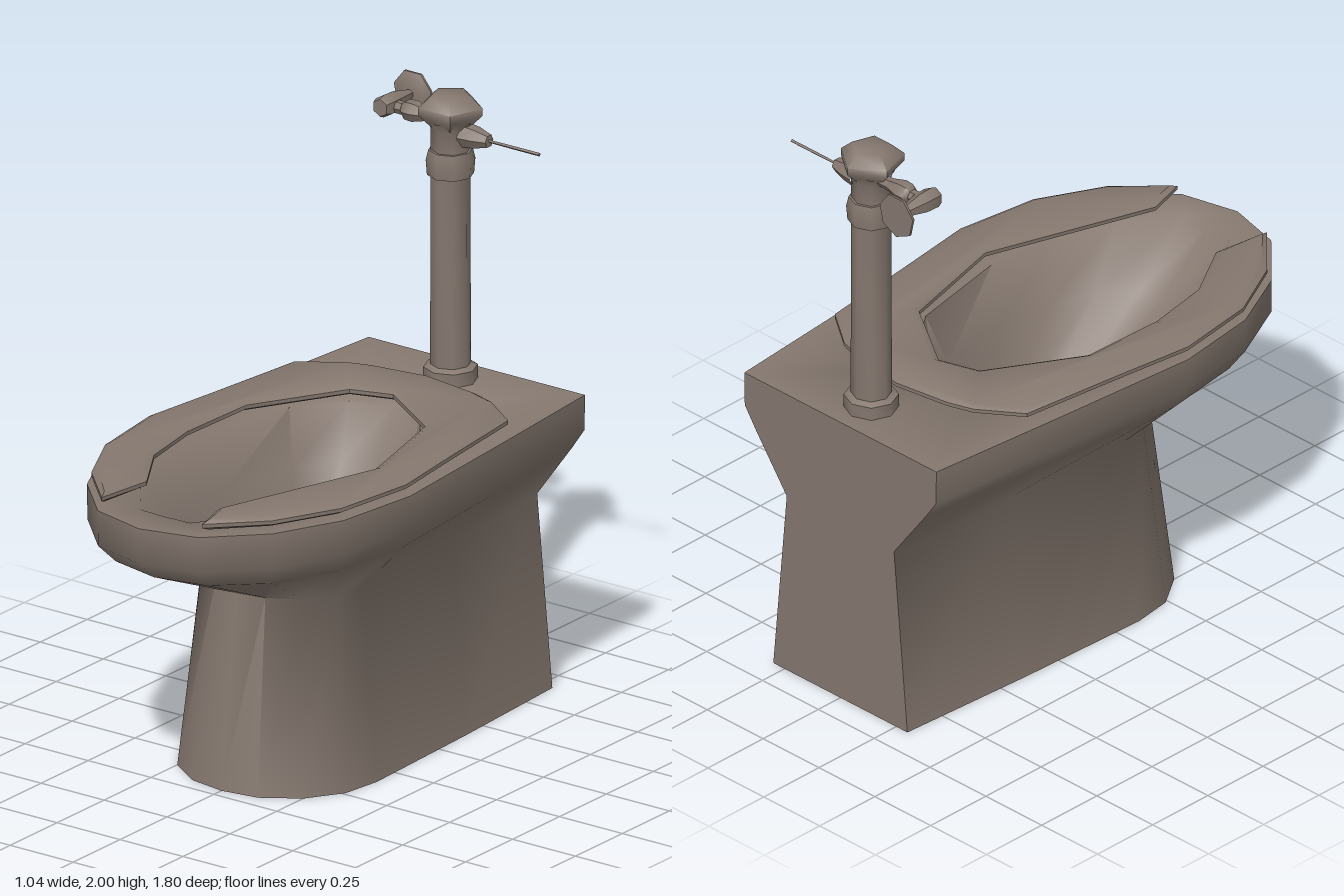
import * as THREE from 'three';
import { toCreasedNormals } from 'three/addons/utils/BufferGeometryUtils.js';

const ceramic = new THREE.MeshStandardMaterial({ color: 0x85786f });
ceramic.name = 'warm grey';

function part(name, geometry, crease = 0.9) {
  const mesh = new THREE.Mesh(toCreasedNormals(geometry, crease), ceramic);
  mesh.name = name;
  return mesh;
}

// Turned part standing on its own y axis; profile is [radius, height] from bottom to top
function turned(name, profile, sides = 8, start = Math.PI) {
  const points = profile.map(([r, y]) => new THREE.Vector2(r, y));
  return part(name, new THREE.LatheGeometry(points, sides, start), 0.9);
}

// Closed skin through mirrored half outlines, each running from back centre to front centre
function loft(levels) {
  const positions = [], index = [];
  const n = 14;
  for (const [y, half] of levels) {
    const mirrored = half.slice(1, -1).reverse().map(([x, z]) => [-x, z]);
    for (const [x, z] of [...half, ...mirrored]) positions.push(x, y, z);
  }
  for (let i = 0; i < levels.length - 1; i++) {
    for (let j = 0; j < n; j++) {
      const a = i * n + j, b = i * n + (j + 1) % n;
      index.push(a, a + n, b, b, a + n, b + n);
    }
  }
  const addCap = (level, up) => {
    const [y, half] = levels[level];
    const center = positions.length / 3;
    positions.push(0, y, (half[0][1] + half[7][1]) / 2);
    for (let j = 0; j < n; j++) {
      const a = level * n + j, b = level * n + (j + 1) % n;
      index.push(center, up ? b : a, up ? a : b);
    }
  };
  addCap(0, false);
  addCap(levels.length - 1, true);
  const geometry = new THREE.BufferGeometry();
  geometry.setAttribute('position', new THREE.Float32BufferAttribute(positions, 3));
  geometry.setIndex(index);
  return geometry;
}

function createBowl() {
  const rim = [[0, -0.9], [0.43, -0.9], [0.475, -0.4], [0.52, 0.15], [0.48, 0.45], [0.37, 0.68], [0.2, 0.85], [0, 0.9]];
  return part('bowl', loft([
    // pedestal and outer skin, upwards
    [0, [[0, -0.9], [0.3, -0.9], [0.33, -0.4], [0.35, 0.1], [0.33, 0.24], [0.25, 0.36], [0.13, 0.44], [0, 0.46]]],
    [0.65, [[0, -0.9], [0.24, -0.9], [0.27, -0.4], [0.29, 0.1], [0.27, 0.2], [0.2, 0.3], [0.1, 0.36], [0, 0.38]]],
    [0.84, [[0, -0.9], [0.38, -0.9], [0.43, -0.4], [0.475, 0.13], [0.435, 0.42], [0.335, 0.64], [0.18, 0.78], [0, 0.82]]],
    [0.91, rim.map(([x, z]) => [x * 0.995, z])],
    [1.03, rim],
    // basin, downwards
    [1.03, [[0, -0.45], [0.14, -0.41], [0.26, -0.25], [0.33, 0.12], [0.31, 0.38], [0.23, 0.58], [0.1, 0.76], [0, 0.765]]],
    [0.85, [[0, -0.38], [0.12, -0.34], [0.21, -0.2], [0.26, 0.1], [0.24, 0.3], [0.18, 0.44], [0.09, 0.55], [0, 0.56]]],
    [0.68, [[0, -0.25], [0.09, -0.22], [0.13, -0.12], [0.15, 0.02], [0.14, 0.12], [0.11, 0.2], [0.06, 0.26], [0, 0.27]]],
    [0.55, [[0, -0.17], [0.06, -0.15], [0.1, -0.08], [0.1, -0.02], [0.09, 0.02], [0.07, 0.05], [0.04, 0.07], [0, 0.08]]],
  ]), 1.25);
}

// Open-front seat, slightly uneven on its inner edge
function createSeat() {
  const outer = [[0.2, 0.83], [0.36, 0.67], [0.47, 0.45], [0.51, 0.16], [0.47, -0.15], [0.43, -0.49], [0.29, -0.59], [0.2, -0.62], [0, -0.65]];
  const inner = [[-0.17, 0.63], [-0.29, 0.43], [-0.33, 0.2], [-0.32, -0.1], [-0.14, -0.41], [0, -0.455], [0.25, -0.29], [0.35, 0.11], [0.16, 0.69]];
  const left = outer.slice(0, -1).reverse().map(([x, z]) => [-x, z]);
  const shape = new THREE.Shape([...outer, ...left, ...inner].map(([x, z]) => new THREE.Vector2(x, z)));
  const geometry = new THREE.ExtrudeGeometry(shape, {
    depth: 0.013, bevelThickness: 0.011, bevelSize: 0.02, bevelOffset: -0.02, bevelSegments: 1,
  });
  geometry.rotateX(Math.PI / 2);
  const seat = part('seat', geometry, 0.6);
  seat.position.y = 1.069;
  return seat;
}

function createFlushValve() {
  const valve = new THREE.Group();
  valve.name = 'flushValve';
  valve.position.z = -0.76;
  valve.add(
    turned('pipeFlange', [[0, 1.025], [0.088, 1.025], [0.088, 1.075], [0.066, 1.085]]),
    turned('pipe', [[0.066, 1.03], [0.064, 1.74]]),
    turned('coupling', [[0.06, 1.725], [0.076, 1.73], [0.08, 1.78], [0.072, 1.815], [0, 1.82]]),
    turned('valveNeck', [[0.064, 1.81], [0.064, 1.89], [0.08, 1.92]]),
    turned('valveCap', [[0.06, 1.89], [0.108, 1.94], [0.108, 1.965], [0.068, 2], [0, 2]], 5),
  );

  // Lever on the left side
  const lever = new THREE.Group();
  lever.name = 'lever';
  lever.position.set(0.05, 1.873, -0.005);
  lever.rotation.z = -Math.PI / 2;
  lever.add(
    turned('leverSocket', [[0.042, 0], [0.036, 0.05], [0.022, 0.1], [0, 0.1]], 6),
    turned('leverRod', [[0.005, 0.09], [0.006, 0.2], [0.006, 0.3], [0, 0.3]], 4),
  );

  // Supply arm on the right side, ending at a wall plate
  const supply = new THREE.Group();
  supply.name = 'supplyArm';
  supply.position.set(-0.05, 1.905, -0.01);
  supply.rotation.z = Math.PI / 2;
  supply.add(
    turned('supplyPipe', [[0.022, 0], [0.022, 0.2]], 6),
    turned('supplyNut', [[0, 0.05], [0.022, 0.05], [0.036, 0.1], [0.034, 0.13], [0.015, 0.15], [0, 0.15]], 6),
  );

  const stop = new THREE.Group();
  stop.name = 'wallStop';
  stop.position.set(-0.25, 1.908, 0.04);
  stop.rotation.x = -Math.PI / 2;
  stop.add(
    turned('stopBody', [[0, 0], [0.03, 0], [0.038, 0.02], [0.036, 0.07], [0.012, 0.17]], 6),
    turned('wallPlate', [[0, 0.155], [0.05, 0.16], [0.076, 0.172], [0.076, 0.18], [0, 0.18]], 7),
  );
  valve.add(lever, supply, stop);
  return valve;
}

export function createModel() {
  const model = new THREE.Group();
  model.name = 'toilet';
  model.add(createBowl(), createSeat(), createFlushValve());
  return model;
}
